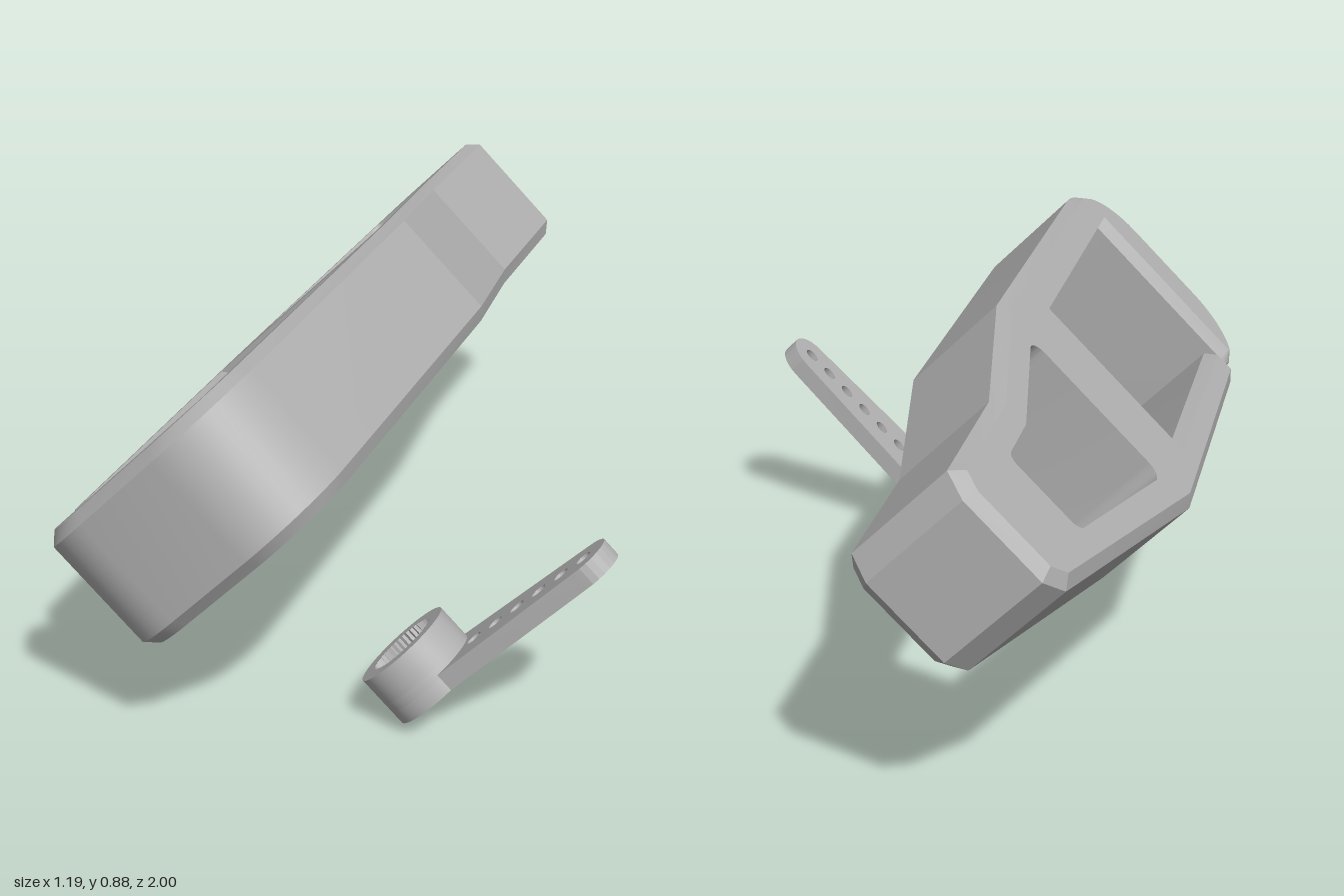
import * as THREE from 'three';
import { toCreasedNormals } from 'three/addons/utils/BufferGeometryUtils.js';

const CREASE = 0.2, BEVEL = 0.026;
const V2 = (x, y) => new THREE.Vector2(x, y);

// Corner list [a, b, radius, bevel of the edge that leaves] -> points with bevels
function roundCorners(corners) {
  const out = [];
  corners.forEach(([x, y, r = 0, c = BEVEL], i) => {
    const n = corners.length, p = V2(x, y);
    if (!r) return out.push({ p, c });
    const a = V2(...corners[(i + n - 1) % n]).sub(p).normalize();
    const b = V2(...corners[(i + 1) % n]).sub(p).normalize();
    const half = Math.acos(a.dot(b)) / 2;
    const centre = p.clone().add(a.clone().add(b).normalize().multiplyScalar(r / Math.sin(half)));
    const start = p.clone().addScaledVector(a, r / Math.tan(half)).sub(centre);
    const sweep = (Math.PI - 2 * half) * Math.sign(b.cross(a));
    for (let k = 0; k <= 10; k++) {
      out.push({ p: start.clone().rotateAround(V2(0, 0), sweep * k / 10).add(centre), c });
    }
  });
  return out;
}

// Move every edge inward by its own bevel and intersect the neighbours
function inset(outline) {
  const n = outline.length;
  const dir = outline.map((o, i) => outline[(i + 1) % n].p.clone().sub(o.p).normalize());
  return outline.map((o, i) => {
    const j = (i + n - 1) % n, d1 = dir[j], d2 = dir[i], c1 = outline[j].c, c2 = o.c;
    const n1 = V2(-d1.y, d1.x), n2 = V2(-d2.y, d2.x), cross = d1.cross(d2);
    if (Math.abs(cross) < 1e-3) return o.p.clone().addScaledVector(n2, c2);
    const m = V2((c1 * n2.y - c2 * n1.y) / cross, (c2 * n1.x - c1 * n2.x) / cross);
    return o.p.clone().add(m);
  });
}

// Thick plate with selective bevels and straight-walled holes
function bevelledPlate(outline, holes, low, high) {
  const pos = [];
  const band = (A, a, B, b) => A.forEach((p, i) => {
    const k = (i + 1) % A.length, p2 = A[k], q = B[i], q2 = B[k];
    pos.push(p.x, p.y, a, p2.x, p2.y, a, q2.x, q2.y, b, p.x, p.y, a, q2.x, q2.y, b, q.x, q.y, b);
  });
  const outer = outline.map(o => o.p), inner = inset(outline);
  band(inner, low, outer, low + BEVEL);
  band(outer, low + BEVEL, outer, high - BEVEL);
  band(outer, high - BEVEL, inner, high);
  holes.forEach(h => band(h, low, h, high));
  const all = [inner, ...holes].flat();
  THREE.ShapeUtils.triangulateShape(inner, holes).forEach(([a, b, c]) => {
    [a, b, c].forEach(i => pos.push(all[i].x, all[i].y, high));
    [c, b, a].forEach(i => pos.push(all[i].x, all[i].y, low));
  });
  const g = new THREE.BufferGeometry();
  g.setAttribute('position', new THREE.Float32BufferAttribute(pos, 3));
  return toCreasedNormals(g, CREASE);
}

// Clockwise loop of points round a centre
function loop(x, y, count, radius) {
  return Array.from({ length: count }, (_, i) => {
    const t = -i / count * Math.PI * 2, r = typeof radius === 'function' ? radius(i) : radius;
    return V2(x + r * Math.cos(t), y + r * Math.sin(t));
  });
}

function extrude(points, holes, low, high) {
  const shape = new THREE.Shape(points);
  shape.holes = holes.map(h => new THREE.Path(h));
  const g = new THREE.ExtrudeGeometry(shape, { depth: high - low, bevelEnabled: false });
  g.translate(0, 0, low);
  return toCreasedNormals(g, CREASE);
}

export function createModel() {
  const grey = new THREE.MeshStandardMaterial({ color: 0xb0b0b0 });
  grey.name = 'plain grey';
  const model = new THREE.Group();
  model.name = 'servoMountAndHorn';

  // Both pieces lie in a plane tilted 45 degrees: local x runs along world z
  const s = Math.SQRT1_2;
  const tilt = new THREE.Matrix4().makeBasis(
    new THREE.Vector3(0, 0, 1), new THREE.Vector3(s, s, 0), new THREE.Vector3(-s, s, 0));
  const piece = name => {
    const g = new THREE.Group();
    g.name = name;
    g.quaternion.setFromRotationMatrix(tilt);
    model.add(g);
    return g;
  };
  const add = (group, name, geometry) => {
    const m = new THREE.Mesh(geometry, grey);
    m.name = name;
    group.add(m);
    return m;
  };

  // Mount frame: spine, hook, open rail, cross block and tapered tip
  const mount = piece('mount');
  const LOW = 0.421, HIGH = 0.75;
  const hookCurve = [];
  for (let i = 0; i <= 10; i++) {
    const t = (-68 + 6.8 * i) * Math.PI / 180;
    hookCurve.push([0.8 + 0.2 * Math.cos(t), 0.09 + 0.2 * Math.sin(t)]);
  }
  const outline = roundCorners([
    [0.04, 0.425, 0, 0], [0.83, 0.425], [0.83, -0.1, 0.03], ...hookCurve,
    [1, 0.528, 0.2], [-0.13, 0.528], [-0.56, 0.425], [-0.955, 0.425], [-1, 0.367],
    [-1, 0.142], [-0.948, 0.088], [-0.13, -0.12],
    [0.78, -0.12, 0.03], [0.78, -0.015, 0.03], [0.04, -0.015, 0, 0],
  ]);
  const windowHole = roundCorners([
    [-0.185, -0.01, 0.035], [-0.745, 0.125, 0.035], [-0.745, 0.337, 0.025],
    [-0.56, 0.337], [-0.185, 0.425, 0.035],
  ]).map(o => o.p);
  const SCREW = 0.053;
  const screws = [[0.914, 0.205], [-0.038, 0.205]];
  const screwHoles = screws.map(([x, y]) => loop(x, y, 40, SCREW));
  add(mount, 'mountFrame', bevelledPlate(outline, [windowHole, ...screwHoles], LOW, HIGH));

  // Blind countersunk screw sockets
  const socket = [[0, LOW + 0.13], [0.03, LOW + 0.13], [0.03, LOW + 0.03],
    [SCREW, LOW], [SCREW, HIGH], [0, HIGH]].map(p => V2(...p));
  const socketGeometry = toCreasedNormals(
    new THREE.LatheGeometry(socket, 40).rotateX(Math.PI / 2), CREASE);
  screws.forEach(([x, y]) => add(mount, 'screwSocket', socketGeometry).position.set(x, y, 0));

  // Servo horn: splined hub, web with screw hole, recessed rim
  const horn = piece('horn');
  const cx = 0.61, cy = 0.205, R = 0.118;
  const rim = loop(cx, cy, 48, R).reverse();
  const spline = loop(cx, cy, 80, i => (i % 2 ? 0.082 : 0.077));
  add(horn, 'splinedHub', extrude(rim, [spline], -0.025, 0.045));
  add(horn, 'hubWeb', extrude(rim, [loop(cx, cy, 32, 0.035)], -0.048, -0.025));
  add(horn, 'hubRim', extrude(rim, [loop(cx, cy, 48, 0.08)], -0.084, -0.048));

  // Tapered arm with a row of link holes
  const arm = [];
  for (let i = 0; i <= 12; i++) {
    const t = Math.PI * i / 12;
    arm.push(V2(cx + 0.064 * Math.cos(t), 0.692 + 0.064 * Math.sin(t)));
  }
  for (let i = 0; i <= 12; i++) {
    const t = (140 - 100 * i / 12) * Math.PI / 180;
    arm.push(V2(cx + R * Math.cos(t), cy + R * Math.sin(t)));
  }
  const linkHoles = Array.from({ length: 6 }, (_, i) => loop(cx, 0.357 + 0.068 * i, 20, 0.019));
  add(horn, 'hornArm', extrude(arm, linkHoles, -0.084, -0.04));

  return model;
}
